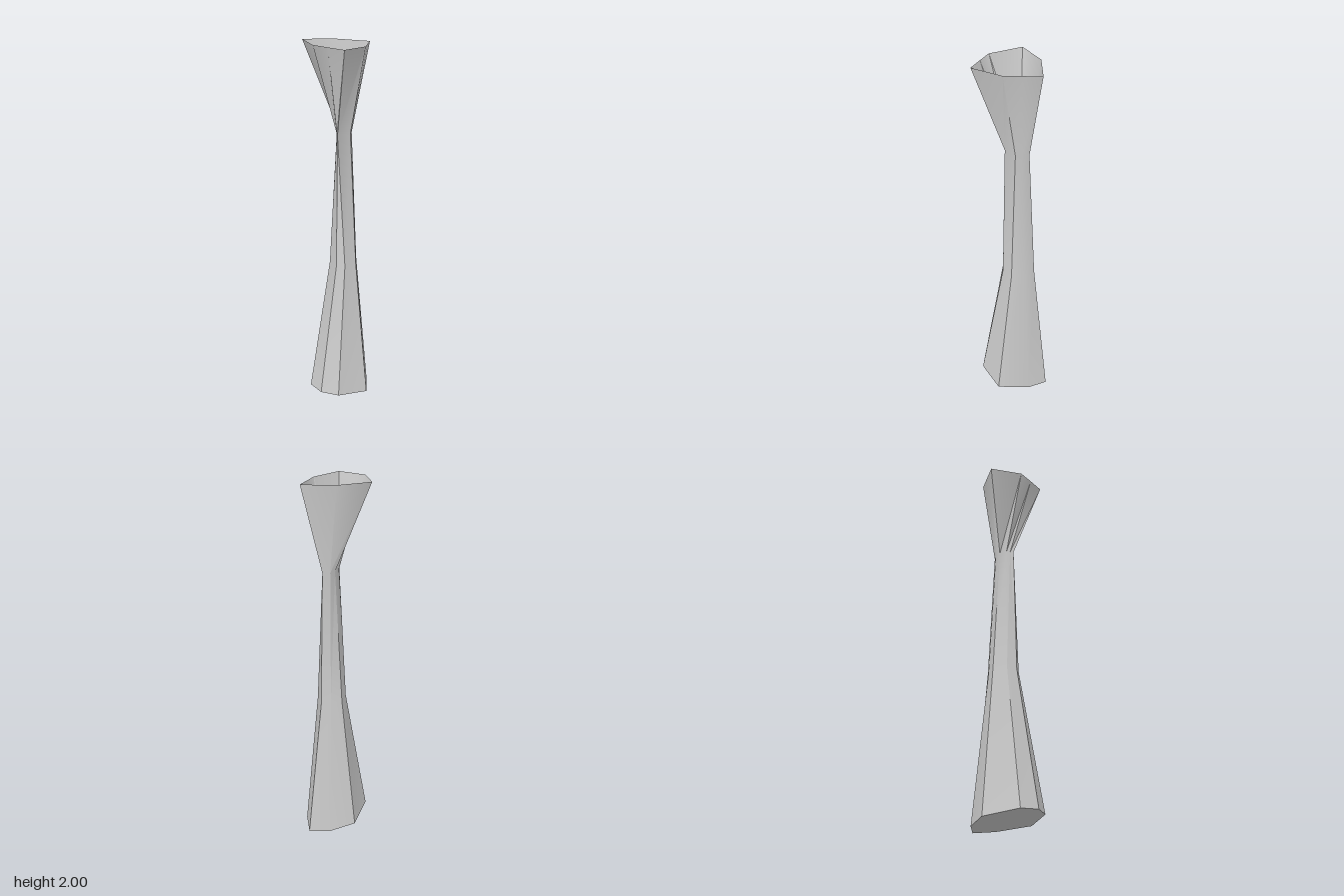
import * as THREE from 'three';
import { toCreasedNormals } from 'three/addons/utils/BufferGeometryUtils.js';

// Irregular eight-sided cross-sections, [x, z] pairs, each on its own slightly tilted plane
const SECTIONS = [
  { height: (x, z) => 0.037 + 0.04 * x + 0.155 * z, // foot
    outline: [[-0.06, -0.2], [0.05, -0.155], [0.18, -0.03], [0.13, 0.14], [0.045, 0.197], [-0.057, 0.188], [-0.17, 0.04], [-0.135, -0.105]] },
  { height: () => 0.82, // waist of the stem
    outline: [[-0.045, -0.105], [0.02, -0.09], [0.07, -0.04], [0.06, 0.03], [0.025, 0.06], [-0.035, 0.055], [-0.085, 0], [-0.07, -0.06]] },
  { height: () => 1.54, // narrow neck
    outline: [[-0.022, -0.08], [0.01, -0.06], [0.03, -0.033], [0.019, 0.045], [0.003, 0.034], [-0.014, 0.021], [-0.034, -0.014], [-0.04, -0.045]] },
  { height: (x, z) => 1.99 - 0.03 * x + 0.04 * z, // open rim
    outline: [[0.01, -0.18], [0.068, -0.11], [0.127, -0.04], [0.16, 0.125], [0.07, 0.149], [-0.015, 0.169], [-0.18, 0.1], [-0.125, -0.06]] },
];

function buildGeometry(points, index) {
  const geometry = new THREE.BufferGeometry();
  geometry.setAttribute('position', new THREE.Float32BufferAttribute(points, 3));
  geometry.setIndex(index);
  return toCreasedNormals(geometry, 0.65);
}

const ringPoints = ({ height, outline }) => outline.flatMap(([x, z]) => [x, height(x, z), z]);

// Skin the cross-sections into an open wall
function wallGeometry() {
  const n = SECTIONS[0].outline.length;
  const index = [];
  for (let r = 0; r < SECTIONS.length - 1; r++) {
    for (let i = 0; i < n; i++) {
      const a = r * n + i, b = r * n + (i + 1) % n;
      index.push(a, a + n, b, b, a + n, b + n);
    }
  }
  return buildGeometry(SECTIONS.flatMap(ringPoints), index);
}

// Fan that closes the foot
function baseGeometry() {
  const n = SECTIONS[0].outline.length;
  const index = [];
  for (let i = 1; i < n - 1; i++) index.push(0, i, i + 1);
  return buildGeometry(ringPoints(SECTIONS[0]), index);
}

export function createModel() {
  const group = new THREE.Group();
  group.name = 'flaredVase';
  const material = new THREE.MeshStandardMaterial({ color: 0xcccccc, side: THREE.DoubleSide });

  const wall = new THREE.Mesh(wallGeometry(), material);
  wall.name = 'stemAndFlare';
  const base = new THREE.Mesh(baseGeometry(), material);
  base.name = 'base';

  group.add(wall, base);
  return group;
}
